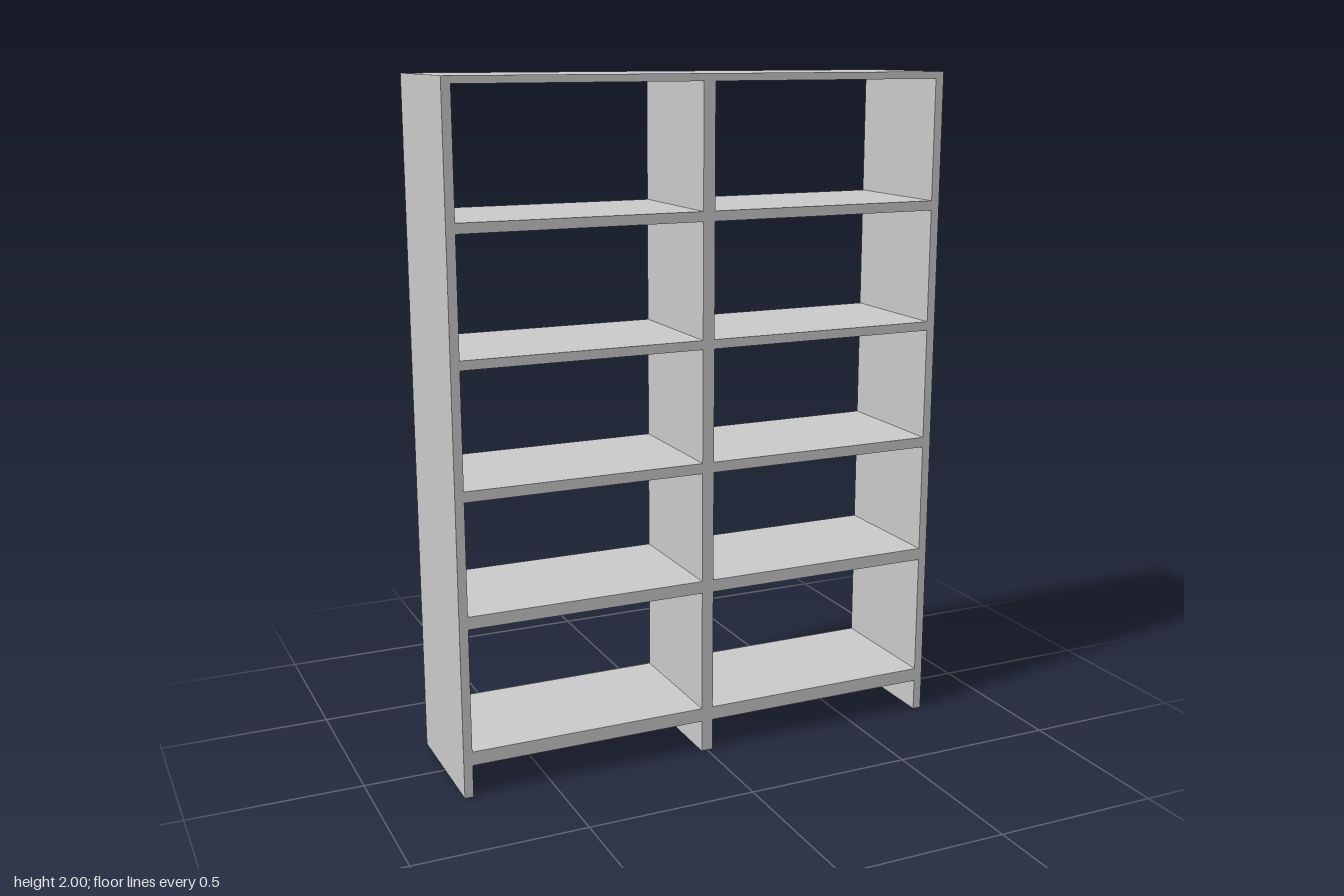
import * as THREE from 'three';

const DEPTH = 0.394, HALF_W = 0.759, SIDE = 0.026, MIDDLE = 0.036;
const TOP_UNDERSIDE = 1.979;

export function createModel() {
  const model = new THREE.Group();
  model.name = 'openBookcase';
  const material = new THREE.MeshStandardMaterial({ color: 0xcccccc, flatShading: true });

  // Full-depth board given by its front-face limits
  function board(name, x0, x1, y0, y1) {
    const mesh = new THREE.Mesh(new THREE.BoxGeometry(x1 - x0, y1 - y0, DEPTH), material);
    mesh.position.set((x0 + x1) / 2, (y0 + y1) / 2, 0);
    mesh.name = name;
    model.add(mesh);
  }

  // Top board and the three uprights
  board('topBoard', -HALF_W, HALF_W, TOP_UNDERSIDE, 2);
  board('rightSide', -HALF_W, -HALF_W + SIDE, 0, TOP_UNDERSIDE);
  board('leftSide', HALF_W - SIDE, HALF_W, 0, TOP_UNDERSIDE);
  board('middleDivider', -MIDDLE / 2, MIDDLE / 2, 0, TOP_UNDERSIDE);

  // Shelves in both bays, [underside, upper face], thicker towards the bottom
  const shelves = [[0.096, 0.137], [0.502, 0.539], [0.867, 0.898], [1.232, 1.259], [1.595, 1.624]];
  shelves.forEach(([y0, y1], i) => {
    board(`rightShelf${i + 1}`, -HALF_W + SIDE, -MIDDLE / 2, y0, y1);
    board(`leftShelf${i + 1}`, MIDDLE / 2, HALF_W - SIDE, y0, y1);
  });

  return model;
}
